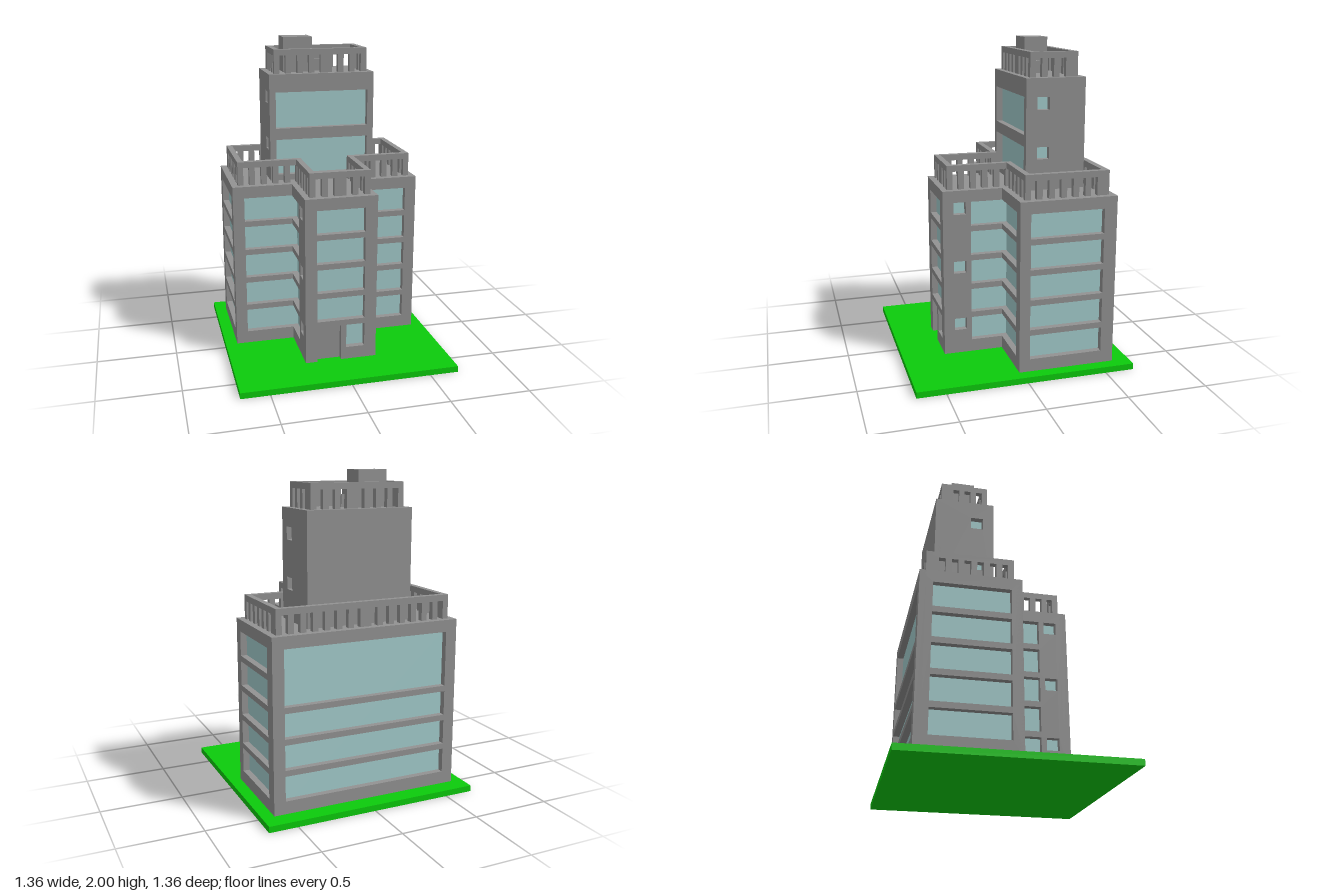
import * as THREE from 'three';

const concrete = new THREE.MeshStandardMaterial({ color: 0x929292 });
concrete.name = 'concrete grey';
const glass = new THREE.MeshStandardMaterial({ color: 0xa3cccc });
glass.name = 'pale window glass';
const grass = new THREE.MeshStandardMaterial({ color: 0x0ccb0c });
grass.name = 'grass green';

// Facing of each wall: rotation about y, and the sign taking x or z to the wall's own axis
const FACES = {
  front: { angle: 0, sign: 1 },
  back: { angle: Math.PI, sign: -1 },
  left: { angle: Math.PI / 2, sign: -1 },
  right: { angle: -Math.PI / 2, sign: 1 },
};

function box(parent, name, mat, x0, x1, y0, y1, z0, z1) {
  const mesh = new THREE.Mesh(new THREE.BoxGeometry(x1 - x0, y1 - y0, z1 - z0), mat);
  mesh.position.set((x0 + x1) / 2, (y0 + y1) / 2, (z0 + z1) / 2);
  mesh.name = name;
  parent.add(mesh);
}

// Wall slab with rectangular openings [a, b, y0, y1]; offset is the distance of its outer face
function wall(parent, name, face, offset, [a, b, y0, y1], holes, thick) {
  const { angle, sign } = FACES[face];
  const trace = (path, p, q, low, high) => {
    const u = Math.min(sign * p, sign * q), v = Math.max(sign * p, sign * q);
    path.moveTo(u, low).lineTo(v, low).lineTo(v, high).lineTo(u, high).closePath();
    return path;
  };
  const shape = trace(new THREE.Shape(), a, b, y0, y1);
  shape.holes = holes.map((h) => trace(new THREE.Path(), ...h));
  const geo = new THREE.ExtrudeGeometry(shape, { depth: thick, bevelEnabled: false });
  geo.translate(0, 0, offset - thick).rotateY(angle);
  const mesh = new THREE.Mesh(geo, concrete);
  mesh.name = name;
  parent.add(mesh);
}

const bothSides = (fn) => ['left', 'right'].forEach(fn);
const WALL = 0.04, RAIL = 0.036, GAP = 0.04, PITCH = 0.0757;
const rows = [0, 1, 2, 3, 4].map((i) => [0.117 + 0.189 * i, 0.27 + 0.189 * i]);
const windows = (a, b) => rows.map(([low, high]) => [a, b, low, high]);
const flip = (holes) => holes.map(([a, b, l, h]) => [-b, -a, l, h]);

// Row of balustrade openings
function gaps(start, count, y0, y1) {
  return Array.from({ length: count }, (_, k) =>
    [start + PITCH * k, start + PITCH * k + GAP, y0, y1]);
}

function lowerBlock() {
  const g = new THREE.Group();
  g.name = 'lowerBlock';
  // Glazed core behind the walls, closed by the roof
  box(g, 'mainGlazing', glass, -0.565, 0.565, 0.03, 1.05, -0.53, -0.005);
  box(g, 'wingGlazing', glass, -0.187, 0.187, 0.03, 1.05, -0.1, 0.372);
  box(g, 'mainRoof', concrete, -0.566, 0.566, 1.05, 1.1, -0.531, -0.004);
  box(g, 'wingRoof', concrete, -0.188, 0.188, 1.05, 1.1, -0.004, 0.373);

  // Main walls; the windows run into the inner corners beside the wing
  const bay = windows(0.183, 0.533);
  wall(g, 'mainFrontWallLeft', 'front', 0.035, [0.175, 0.605, 0.03, 1.1], bay, WALL);
  wall(g, 'mainFrontWallRight', 'front', 0.035, [-0.605, -0.175, 0.03, 1.1], flip(bay), WALL);
  const backWindows = windows(-0.533, 0.533).slice(0, 3);
  backWindows.push([-0.533, 0.533, rows[3][0], rows[4][1]]);
  wall(g, 'mainBackWall', 'back', 0.57, [-0.605, 0.605, 0.03, 1.1], backWindows, WALL);

  // Wing side walls have a small window on every other floor
  const small = [0, 2, 4].map((i) => [0.267, 0.345, rows[i][1] - 0.077, rows[i][1]]);
  bothSides((s) => {
    wall(g, s + 'MainWall', s, 0.605, [-0.57, 0.035, 0.03, 1.1], windows(-0.49, -0.03), WALL);
    wall(g, s + 'WingWall', s, 0.227, [-0.02, 0.41, 0.03, 1.1],
      [...windows(-0.012, 0.235), ...small], WALL);
  });

  // Wing front with the entrance
  const wingFront = windows(-0.153, 0.151).slice(1);
  wingFront.push([0.033, 0.151, ...rows[0]], [-0.153, 0, 0.035, 0.27]);
  wall(g, 'wingFrontWall', 'front', 0.412, [-0.227, 0.227, 0.03, 1.1], wingFront, WALL);
  box(g, 'entranceDoor', concrete, -0.16, 0.005, 0.03, 0.275, 0.368, 0.377);
  return g;
}

function lowerBalustrade() {
  const g = new THREE.Group();
  g.name = 'lowerBalustrade';
  const half = (from, to) => gaps(0.037 + PITCH * from, to - from, 1.1, 1.212);
  const bay = half(2, 7);
  const y = [1.09, 1.25];
  wall(g, 'frontRailLeft', 'front', -0.005, [0.16, 0.565, ...y], bay, RAIL);
  wall(g, 'frontRailRight', 'front', -0.005, [-0.565, -0.16, ...y], flip(bay), RAIL);
  wall(g, 'wingRail', 'front', 0.375, [-0.19, 0.19, ...y], [...half(0, 2), ...flip(half(0, 2))], RAIL);
  wall(g, 'backRail', 'back', 0.53, [-0.565, 0.565, ...y], [...half(0, 7), ...flip(half(0, 7))], RAIL);
  bothSides((s) => {
    wall(g, s + 'MainRail', s, 0.565, [-0.53, -0.005, ...y], gaps(-0.455, 6, 1.1, 1.212), RAIL);
    wall(g, s + 'WingRail', s, 0.19, [-0.04, 0.375, ...y], gaps(0.001, 5, 1.1, 1.212), RAIL);
  });
  return g;
}

function tower() {
  const g = new THREE.Group();
  g.name = 'tower';
  box(g, 'towerGlazing', glass, -0.3, 0.3, 1.08, 1.73, -0.415, -0.12);
  box(g, 'towerRoof', concrete, -0.301, 0.301, 1.73, 1.78, -0.416, -0.119);
  wall(g, 'towerFrontWall', 'front', -0.08, [-0.34, 0.34, 1.09, 1.78],
    [[-0.305, 0.303, 1.137, 1.365], [-0.305, 0.303, 1.437, 1.667]], WALL);
  wall(g, 'towerBackWall', 'back', 0.455, [-0.34, 0.34, 1.09, 1.78], [], WALL);
  bothSides((s) => wall(g, s + 'TowerWall', s, 0.34, [-0.455, -0.08, 1.09, 1.78],
    [[-0.228, -0.15, 1.29, 1.365], [-0.228, -0.15, 1.59, 1.667]], WALL));

  // Roof terrace balustrade
  const y = [1.77, 1.93];
  const openings = [...gaps(-0.268, 4, 1.78, 1.892), ...gaps(0.072, 3, 1.78, 1.892)];
  wall(g, 'towerFrontRail', 'front', -0.115, [-0.302, 0.302, ...y], openings, RAIL);
  wall(g, 'towerBackRail', 'back', 0.417, [-0.302, 0.302, ...y], openings, RAIL);
  bothSides((s) => wall(g, s + 'TowerRail', s, 0.302, [-0.417, -0.115, ...y],
    gaps(-0.341, 3, 1.78, 1.892), RAIL));

  // Rooftop plant room and its duct
  box(g, 'plantRoom', concrete, -0.228, -0.04, 1.77, 2.0, -0.34, -0.19);
  box(g, 'roofDuct', concrete, -0.05, 0.036, 1.77, 1.855, -0.267, -0.23);
  return g;
}

export function createModel() {
  const model = new THREE.Group();
  model.name = 'apartmentBuilding';
  box(model, 'lawn', grass, -0.68, 0.68, 0, 0.038, -0.68, 0.68);
  model.add(lowerBlock(), lowerBalustrade(), tower());
  return model;
}
